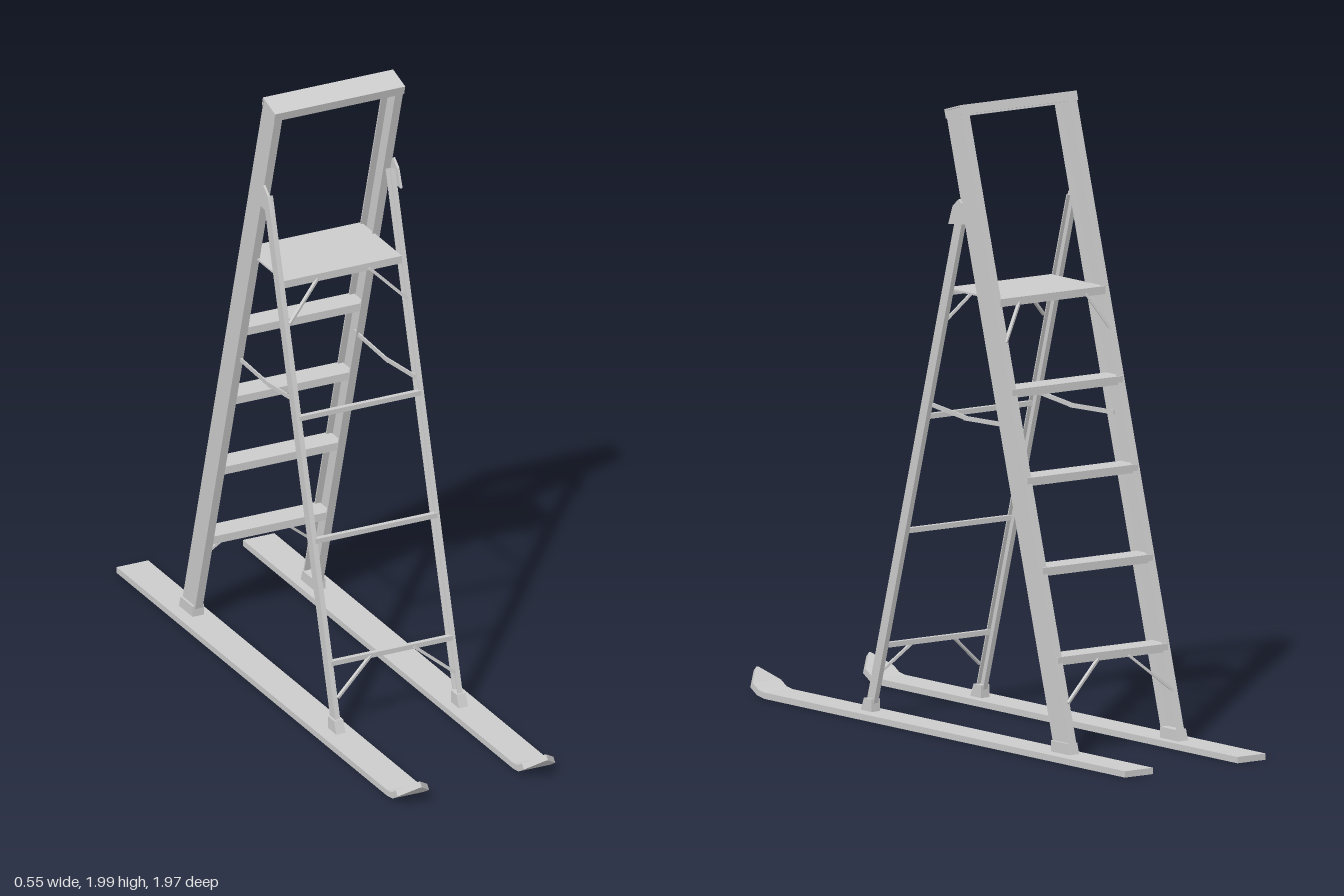
import * as THREE from 'three';

const material = new THREE.MeshStandardMaterial({ color: 0xcccccc, flatShading: true, side: THREE.DoubleSide });
const mesh = (name, geometry) => {
  const m = new THREE.Mesh(geometry, material);
  m.name = name;
  return m;
};

// Lean of the two pairs of rails, and the z of each centre line at height y
const SLOPE = 0.287, LEAN = Math.atan(SLOPE);
const stepRailZ = (y) => -0.6 + SLOPE * (y - 0.02);
const backRailZ = (y) => 0.4 - SLOPE * (y - 0.02);

// U section: web on x = 0, flanges reaching to x = -flange, extruded along z
function channel(length, depth, flange, t) {
  const h = depth / 2;
  const s = new THREE.Shape([
    [0, -h], [0, h], [-flange, h], [-flange, h - t], [-t, h - t], [-t, t - h], [t - h < 0 ? -flange : 0, t - h], [-flange, -h],
  ].map(([x, y]) => new THREE.Vector2(x, y)));
  return new THREE.ExtrudeGeometry(s, { depth: length, bevelEnabled: false });
}

// Channel standing up, open towards -x
const uprightChannel = (length, depth, flange, t) => channel(length, depth, flange, t).rotateX(-Math.PI / 2);

// Channel lying across x, open downwards
function crossChannel(length, depth, flange, t) {
  const g = channel(length, depth, flange, t).translate(0, 0, -length / 2);
  return g.applyMatrix4(new THREE.Matrix4().makeBasis(
    new THREE.Vector3(0, 1, 0), new THREE.Vector3(0, 0, 1), new THREE.Vector3(1, 0, 0)));
}

// Plate cut from a [z, y] outline, from x0 to x1
function sidePlate(points, x0, x1) {
  const s = new THREE.Shape(points.map(([z, y]) => new THREE.Vector2(-z, y)));
  return new THREE.ExtrudeGeometry(s, { depth: x1 - x0, bevelEnabled: false }).rotateY(Math.PI / 2).translate(x0, 0, 0);
}

// Thin bar between two points
function bar(name, a, b, width, thickness) {
  const p = new THREE.Vector3(...a), q = new THREE.Vector3(...b);
  const m = mesh(name, new THREE.BoxGeometry(width, thickness, p.distanceTo(q)));
  m.position.copy(p).add(q).multiplyScalar(0.5);
  m.lookAt(q);
  return m;
}

// Ski: a box whose stations follow an upturned, pointed tip
function skiGeometry() {
  const stations = [ // z, y, pitch, half width
    [-0.985, 0, 0, 0.055], [0.865, 0, 0, 0.055], [0.9, 0.006, 0.35, 0.055],
    [0.935, 0.027, 0.7, 0.055], [0.985, 0.067, 0.72, 0.004],
  ];
  const n = stations.length - 1;
  const g = new THREE.BoxGeometry(2, 1, 1, 1, 1, n);
  const p = g.attributes.position;
  for (let i = 0; i < p.count; i++) {
    const [z, y, pitch, half] = stations[Math.round((p.getZ(i) + 0.5) * n)];
    const up = p.getY(i) > 0 ? 0.02 : 0;
    p.setXYZ(i, p.getX(i) * half, y + up * Math.cos(pitch), z - up * Math.sin(pitch));
  }
  g.computeVertexNormals();
  return g;
}

export function createModel() {
  const model = new THREE.Group();
  model.name = 'stepladderOnSkis';

  // Leaning frames hold the rails in their own direction
  const stepFrame = new THREE.Group();
  stepFrame.name = 'stepFrame';
  stepFrame.position.set(0, 0.014, -0.602);
  stepFrame.rotation.x = LEAN;
  const backFrame = new THREE.Group();
  backFrame.name = 'backFrame';
  backFrame.position.set(0, 0.014, 0.4);
  backFrame.rotation.x = -LEAN;
  model.add(stepFrame, backFrame);

  for (const s of [1, -1]) {
    const side = s > 0 ? 'left' : 'right';
    const turn = s > 0 ? 0 : Math.PI;

    const stepRail = mesh(side + 'StepRail', uprightChannel(2.04, 0.083, 0.027, 0.005));
    stepRail.position.x = s * 0.224;
    stepRail.rotation.y = turn;
    stepFrame.add(stepRail);

    const backRail = mesh(side + 'BackRail', uprightChannel(1.71, 0.036, 0.017, 0.004));
    backRail.position.x = s * 0.222;
    backRail.rotation.y = turn;
    backFrame.add(backRail);

    const ski = mesh(side + 'Ski', skiGeometry());
    ski.position.x = s * 0.22;
    model.add(ski);

    // Feet and hinge plates
    const plate = (name, points, inner, outer) =>
      model.add(mesh(side + name, sidePlate(points, s > 0 ? inner : -outer, s > 0 ? outer : -inner)));
    plate('StepFoot', [[-0.55, 0.015], [-0.645, 0.015], [-0.633, 0.055], [-0.55, 0.055]], 0.193, 0.232);
    plate('BackFoot', [[0.43, 0.015], [0.372, 0.015], [0.372, 0.06], [0.412, 0.06]], 0.198, 0.23);
    plate('HingePlate', [[-0.02, 1.61], [-0.042, 1.67], [-0.072, 1.695], [-0.088, 1.685], [-0.105, 1.62]], 0.222, 0.23);

    // Folding spreader, slightly sagging at its joint
    model.add(bar(side + 'SpreaderFront', [s * 0.205, 1.025, 0.115], [s * 0.205, 1.003, -0.09], 0.005, 0.014));
    model.add(bar(side + 'SpreaderRear', [s * 0.205, 1.003, -0.07], [s * 0.205, 1.01, -0.3], 0.005, 0.014));

    // Diagonal braces under the platform, the lowest tread and the lowest rung
    const braces = [
      [0.205, 1.27, 0.06, 0.09, 1.385, 0.024],
      [0.205, 1.27, -0.283, 0.13, 1.385, -0.253],
      [0.205, 0.175, -0.6, 0.06, 0.295, -0.564],
      [0.205, 0.125, 0.388, 0.075, 0.23, 0.358],
    ];
    for (const [x0, y0, z0, x1, y1, z1] of braces)
      model.add(bar(side + 'Brace', [s * x0, y0, z0], [s * x1, y1, z1], 0.01, 0.008));
  }

  // Top cap closing the step frame
  const cap = mesh('topCap', crossChannel(0.454, 0.087, 0.03, 0.005));
  cap.position.y = 2.046;
  stepFrame.add(cap);

  // Treads
  for (const y of [0.316, 0.587, 0.86, 1.128]) {
    const tread = mesh('tread', crossChannel(0.43, 0.084, 0.026, 0.005));
    tread.position.set(0, y, stepRailZ(y - 0.025));
    model.add(tread);
  }

  // Platform with a lip at both ends
  const platform = mesh('platform', crossChannel(0.41, 0.28, 0.025, 0.006));
  platform.position.set(0, 1.402, -0.115);
  model.add(platform);

  // Rungs between the back rails
  for (const y of [0.23, 0.605, 0.98]) {
    const rung = mesh('backRung', new THREE.BoxGeometry(0.425, 0.016, 0.016));
    rung.position.set(0, y, backRailZ(y) + 0.012);
    model.add(rung);
  }
  return model;
}
